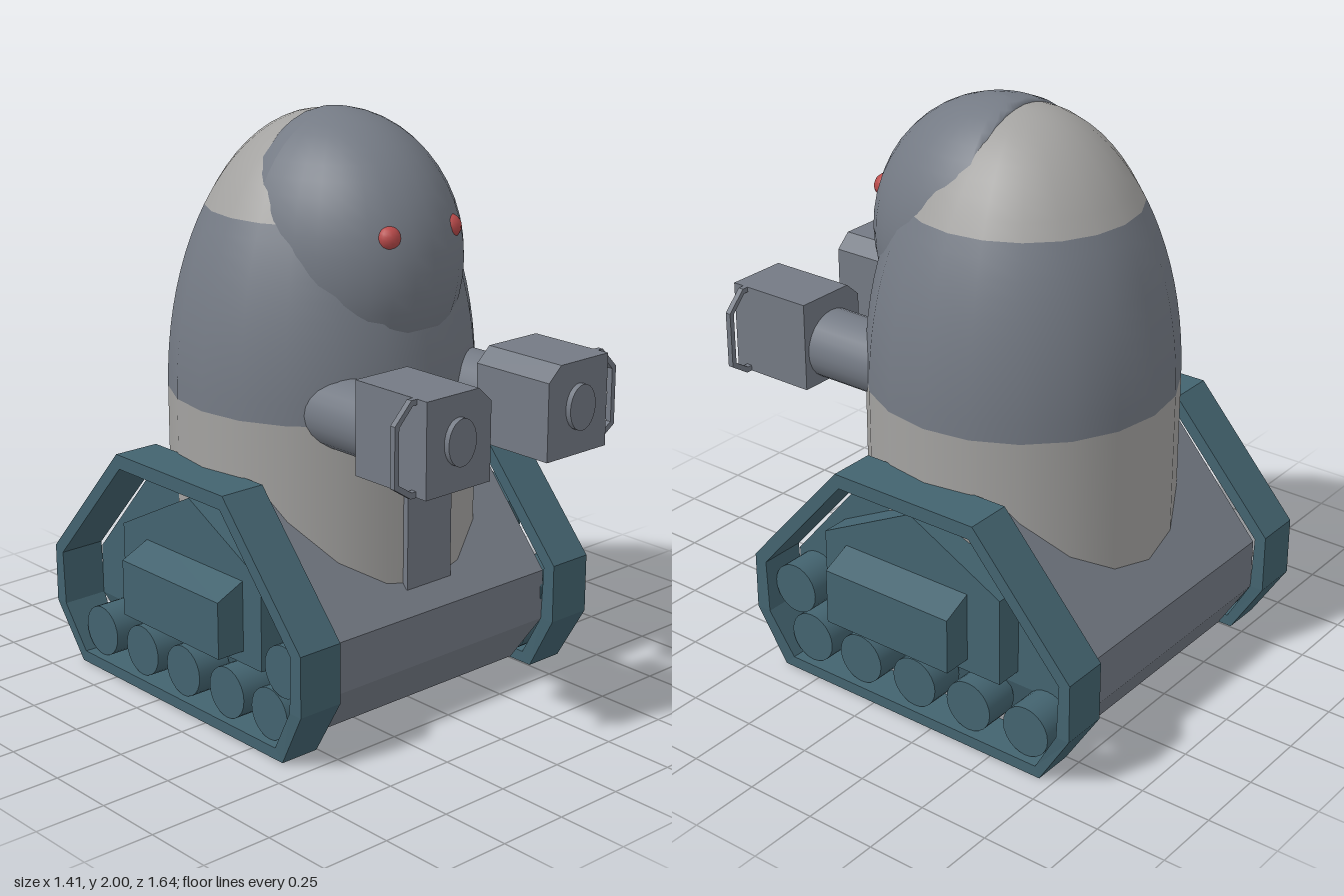
import * as THREE from 'three';

const mat = (name, color) => {
  const m = new THREE.MeshStandardMaterial({ color });
  m.name = name;
  return m;
};

export function createModel() {
  const model = new THREE.Group();
  model.name = 'trackedRobot';
  const steel = mat('steelGrey', 0x747a84);
  const pale = mat('paleGrey', 0xa3a2a0);
  const teal = mat('darkTeal', 0x43636f);
  const red = mat('eyeRed', 0xb84a4a);

  const add = (name, geo, material, parent = model) => {
    const mesh = new THREE.Mesh(geo, material);
    mesh.name = name;
    parent.add(mesh);
    return mesh;
  };
  const vecs = (pts) => pts.map(([a, b]) => new THREE.Vector2(a, b));

  // Flat-sided extrusion; the hole is listed in the same direction as the outline
  const extrude = (pts, depth, hole) => {
    const shape = new THREE.Shape(vecs(pts));
    if (hole) shape.holes.push(new THREE.Path(vecs(hole).reverse()));
    return new THREE.ExtrudeGeometry(shape, { depth, bevelEnabled: false });
  };
  // Extrudes a [z, y] outline across the width, from xa to xb
  const slab = (pts, xa, xb, hole) => extrude(pts, Math.abs(xb - xa), hole)
    .rotateY(-Math.PI / 2).translate(Math.max(xa, xb), 0, 0);
  const moveVertices = (geo, rule) => {
    const p = geo.attributes.position;
    const v = new THREE.Vector3();
    for (let i = 0; i < p.count; i++) {
      rule(v.fromBufferAttribute(p, i));
      p.setXYZ(i, v.x, v.y, v.z);
    }
    geo.computeVertexNormals();
    return geo;
  };

  // Hull: grey plating with teal flanks, and a tapered belly below
  add('hull', slab([[0.11, 0.79], [0.455, 0.38], [0.455, 0.2], [-0.775, 0.2], [-0.775, 0.38], [-0.42, 0.79]],
    -0.5, 0.5), [teal, steel]);
  const belly = moveVertices(new THREE.BoxGeometry(1, 0.16, 1.23).translate(0, 0.12, -0.16), (v) => {
    if (v.y < 0.1) {
      v.x *= 0.89;
      v.z = -0.16 + (v.z + 0.16) * 0.85;
    }
  });
  add('belly', belly, [teal, teal, steel, steel, steel, steel]);

  // Torso: straight drum under a half-ellipsoid dome, in three colour bands
  const R = 0.532, MID = 1.04, H = 0.945, SIDES = 20;
  const domeBand = (a0, a1, n) => Array.from({ length: n + 1 }, (_, i) => {
    const a = a0 + (a1 - a0) * i / n;
    return [Math.max(0, R * Math.cos(a)), MID + H * Math.sin(a)];
  });
  const split = Math.asin((1.67 - MID) / H);
  const torso = new THREE.Group();
  torso.name = 'torso';
  torso.position.z = -0.137;
  model.add(torso);
  add('torsoDrum', new THREE.LatheGeometry(vecs([[R, 0.4], [R, MID]]), SIDES), pale, torso);
  add('torsoShell', new THREE.LatheGeometry(vecs(domeBand(0, split, 10)), SIDES), steel, torso);
  add('torsoCap', new THREE.LatheGeometry(vecs(domeBand(split, Math.PI / 2, 10)), SIDES), pale, torso);

  // Head bulging from the front of the dome, cut off flat at the back
  const head = new THREE.SphereGeometry(1, 32, 24).scale(0.38, 0.48, 0.47).translate(0, 1.52, -0.06);
  add('head', moveVertices(head, (v) => { v.z = Math.max(v.z, -0.135); }), steel);

  // Front plate
  add('frontPlate', new THREE.BoxGeometry(0.2, 0.425, 0.1).translate(0, 0.6625, 0.35), steel);

  // Track frame outlines as [z, y]
  const outer = [[0.13, 0.845], [0.51, 0.41], [0.51, 0.2], [0.4, 0],
    [-0.7, 0], [-0.825, 0.2], [-0.825, 0.41], [-0.44, 0.845]];
  const inner = [[0.115, 0.795], [0.463, 0.392], [0.455, 0.2], [0.363, 0.04],
    [-0.683, 0.04], [-0.775, 0.2], [-0.783, 0.392], [-0.425, 0.795]];
  const wheels = [[0.3, 0.13], [0.08, 0.13], [-0.155, 0.13], [-0.385, 0.13], [-0.62, 0.13], [0.37, 0.3]];

  for (const s of [1, -1]) {
    const side = s > 0 ? 'left' : 'right';
    const mirrored = (pts) => pts.map(([x, y]) => [s * x, y]);

    // Eye
    const eye = add(side + 'Eye', new THREE.SphereGeometry(0.042, 16, 12), red);
    eye.position.set(s * 0.135, 1.643, 0.335);

    // Arm and gun box with one chamfered corner
    const arm = new THREE.Group();
    arm.name = side + 'Arm';
    model.add(arm);
    add('armTube', new THREE.CylinderGeometry(0.122, 0.122, 0.4, 24).rotateX(Math.PI / 2)
      .translate(s * 0.268, 1.075, 0.3), steel, arm);
    const box = mirrored([[0.13, 0.945], [0.407, 0.945], [0.407, 1.26], [0.185, 1.26], [0.13, 1.21]]);
    add('gunBox', extrude(box, 0.32).translate(0, 0, 0.48), steel, arm);
    add('muzzle', new THREE.CylinderGeometry(1, 1, 0.04, 24).rotateX(Math.PI / 2)
      .scale(0.06, 0.078, 1).translate(s * 0.272, 1.107, 0.8), steel, arm);

    // Thin guard loop on the outside of the gun box
    const guard = mirrored([[0.4, 0.945], [0.43, 0.945], [0.498, 0.99], [0.498, 1.19], [0.43, 1.26], [0.4, 1.26]]);
    const gap = mirrored([[0.403, 0.965], [0.425, 0.965], [0.48, 1.0], [0.48, 1.183], [0.424, 1.242], [0.403, 1.242]]);
    add('guard', extrude(guard, 0.02, gap).translate(0, 0, 0.737), steel, arm);

    // Track ring, slightly narrower at the ground
    const track = new THREE.Group();
    track.name = side + 'Track';
    model.add(track);
    const ring = moveVertices(slab(outer, s * 0.497, s * 0.665, inner), (v) => {
      if (v.y < 0.1) v.x += Math.abs(v.x) > 0.6 ? -s * 0.015 : s * 0.008;
    });
    add('trackRing', ring, teal, track);

    // Wheels
    for (const [z, y] of wheels) {
      add('wheel', new THREE.CylinderGeometry(0.09, 0.09, 0.13, 24).rotateZ(Math.PI / 2)
        .translate(s * 0.555, y, z), teal, track);
    }

    // Gabled side armour and its protruding box with a sloped top
    add('sideArmour', slab([[0.24, 0.25], [0.24, 0.565], [-0.13, 0.755], [-0.5, 0.565], [-0.5, 0.25]],
      s * 0.49, s * 0.6), teal, track);
    const pod = moveVertices(new THREE.BoxGeometry(0.145, 0.25, 0.515)
      .translate(s * 0.6325, 0.42, -0.11), (v) => {
      if (v.y > 0.5) v.y = Math.abs(v.x) > 0.65 ? 0.493 : 0.56;
    });
    add('sidePod', pod, teal, track);
  }
  return model;
}
